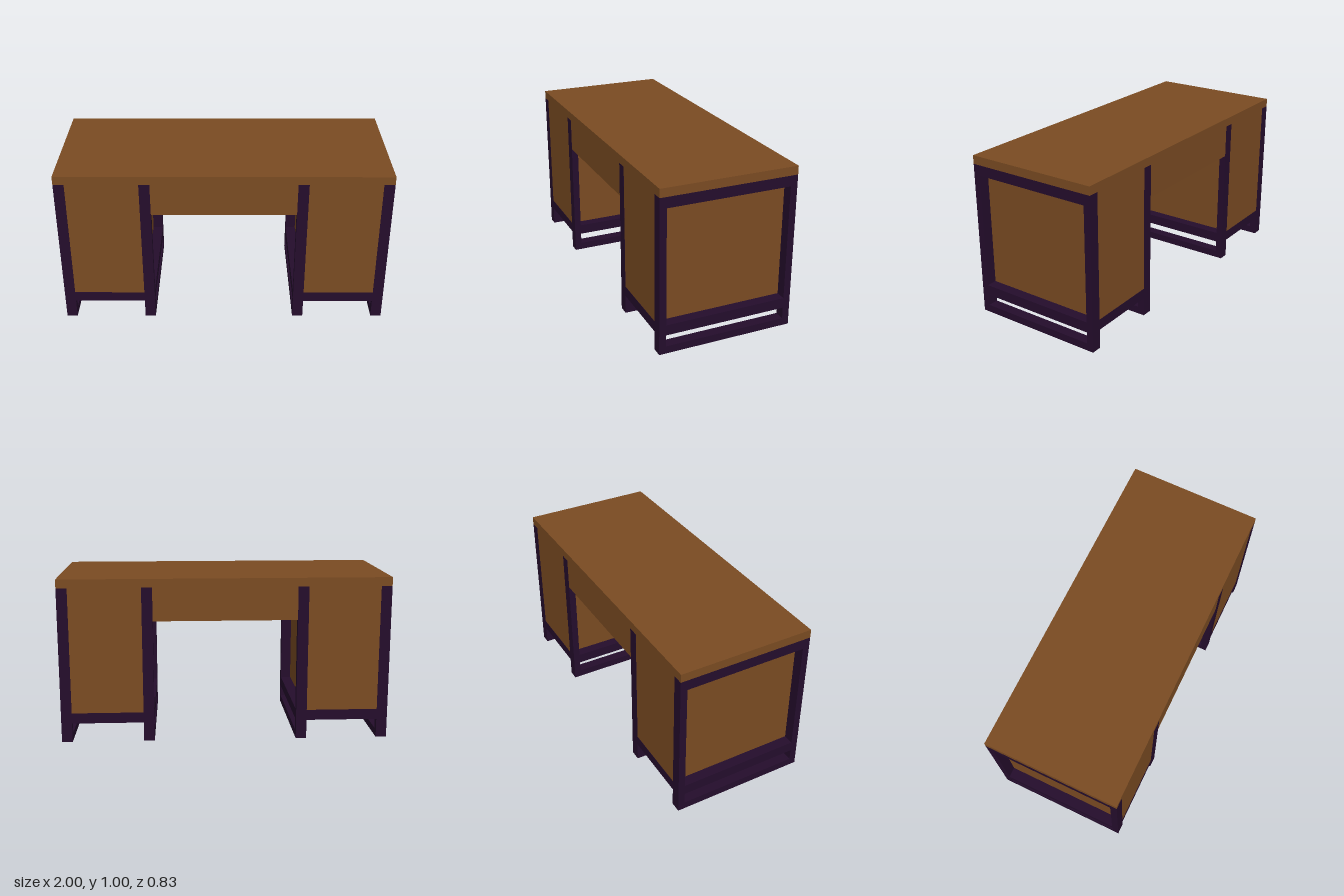
import * as THREE from 'three';

const wood = new THREE.MeshStandardMaterial({ name: 'brown wood', color: 0x7a4b22 });
const metal = new THREE.MeshStandardMaterial({ name: 'dark purple frame', color: 0x240d2c });

// Box given by its minimum and maximum along each axis
function box(name, material, [x0, x1], [y0, y1], [z0, z1]) {
  const mesh = new THREE.Mesh(new THREE.BoxGeometry(x1 - x0, y1 - y0, z1 - z0), material);
  mesh.name = name;
  mesh.position.set((x0 + x1) / 2, (y0 + y1) / 2, (z0 + z1) / 2);
  return mesh;
}

const DEPTH = 0.417;   // half depth of the desk
const POST = 0.042;    // post thickness along z
const BAR = 0.065;     // frame width along x
const TOP = 0.948;     // underside of the desktop

// Upright side frame: two posts joined by three rails
function sideFrame(x) {
  const frame = new THREE.Group();
  frame.name = 'sideFrame';
  const xs = [x - BAR / 2, x + BAR / 2];
  const inner = DEPTH - POST;
  frame.add(
    box('frontPost', metal, xs, [0, TOP], [inner, DEPTH]),
    box('backPost', metal, xs, [0, TOP], [-DEPTH, -inner]),
    box('footRail', metal, xs, [0, 0.046], [-inner, inner]),
    box('middleRail', metal, xs, [0.117, 0.181], [-inner, inner]),
    box('upperRail', metal, xs, [0.884, TOP], [-inner, inner]),
  );
  return frame;
}

// Cabinet between two side frames, resting on a dark tray
function pedestal(name, side) {
  const group = new THREE.Group();
  group.name = name;
  const xs = side > 0 ? [0.5, 0.935] : [-0.935, -0.5];
  group.add(
    sideFrame(side * (1 - BAR / 2)),
    sideFrame(side * (0.5 - BAR / 2)),
    box('tray', metal, xs, [0.117, 0.181], [-DEPTH, DEPTH]),
    box('cabinet', wood, xs, [0.181, TOP], [-DEPTH + 0.001, DEPTH - 0.001]),
  );
  return group;
}

export function createModel() {
  const desk = new THREE.Group();
  desk.name = 'desk';
  desk.add(
    box('desktop', wood, [-1, 1], [TOP, 1], [-DEPTH, DEPTH]),
    // Centre drawer box reaching both cabinets
    box('centreDrawer', wood, [-0.5, 0.5], [0.745, TOP], [-DEPTH + 0.001, DEPTH - 0.001]),
    pedestal('leftPedestal', 1),
    pedestal('rightPedestal', -1),
  );
  return desk;
}
